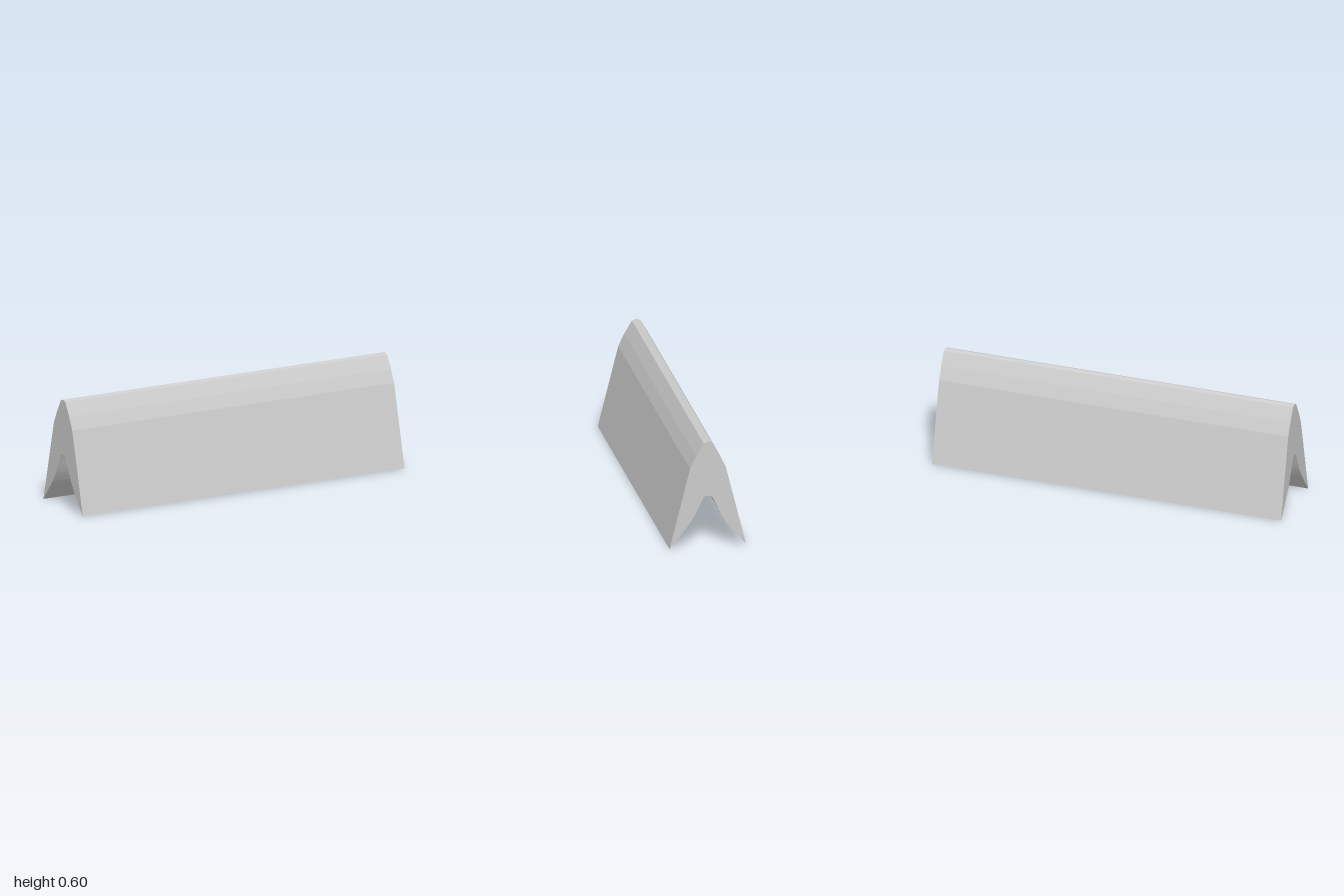
import * as THREE from 'three';

// Half of the cross-section as [half width, height], from the ridge
// down the outer face to the toe, then back up the hollow underside.
const outer = [[0, 0.6], [0.023, 0.591], [0.065, 0.52], [0.098, 0.45], [0.21, 0]];
const inner = [[0.172, 0.046], [0.135, 0.092], [0.114, 0.119], [0.095, 0.147], [0.078, 0.174], [0.063, 0.202],
  [0.05, 0.229], [0.038, 0.255], [0.024, 0.283], [0.02, 0.288], [0.014, 0.291], [0.008, 0.291], [0, 0.289]];

export function createModel() {
  const group = new THREE.Group();
  group.name = 'ridgeBar';

  // Mirror the half profile to close the arched section
  const half = [...outer, ...inner];
  const mirrored = half.slice(1, -1).reverse().map(([x, y]) => [-x, y]);
  const section = new THREE.Shape([...half, ...mirrored].map(([x, y]) => new THREE.Vector2(x, y)));

  // Straight bar running along x
  const length = 2;
  const geometry = new THREE.ExtrudeGeometry(section, { depth: length, bevelEnabled: false });
  geometry.translate(0, 0, -length / 2);
  geometry.rotateY(Math.PI / 2);

  const bar = new THREE.Mesh(geometry, new THREE.MeshStandardMaterial({ color: 0xcccccc, flatShading: true }));
  bar.name = 'archedBar';
  group.add(bar);
  return group;
}
